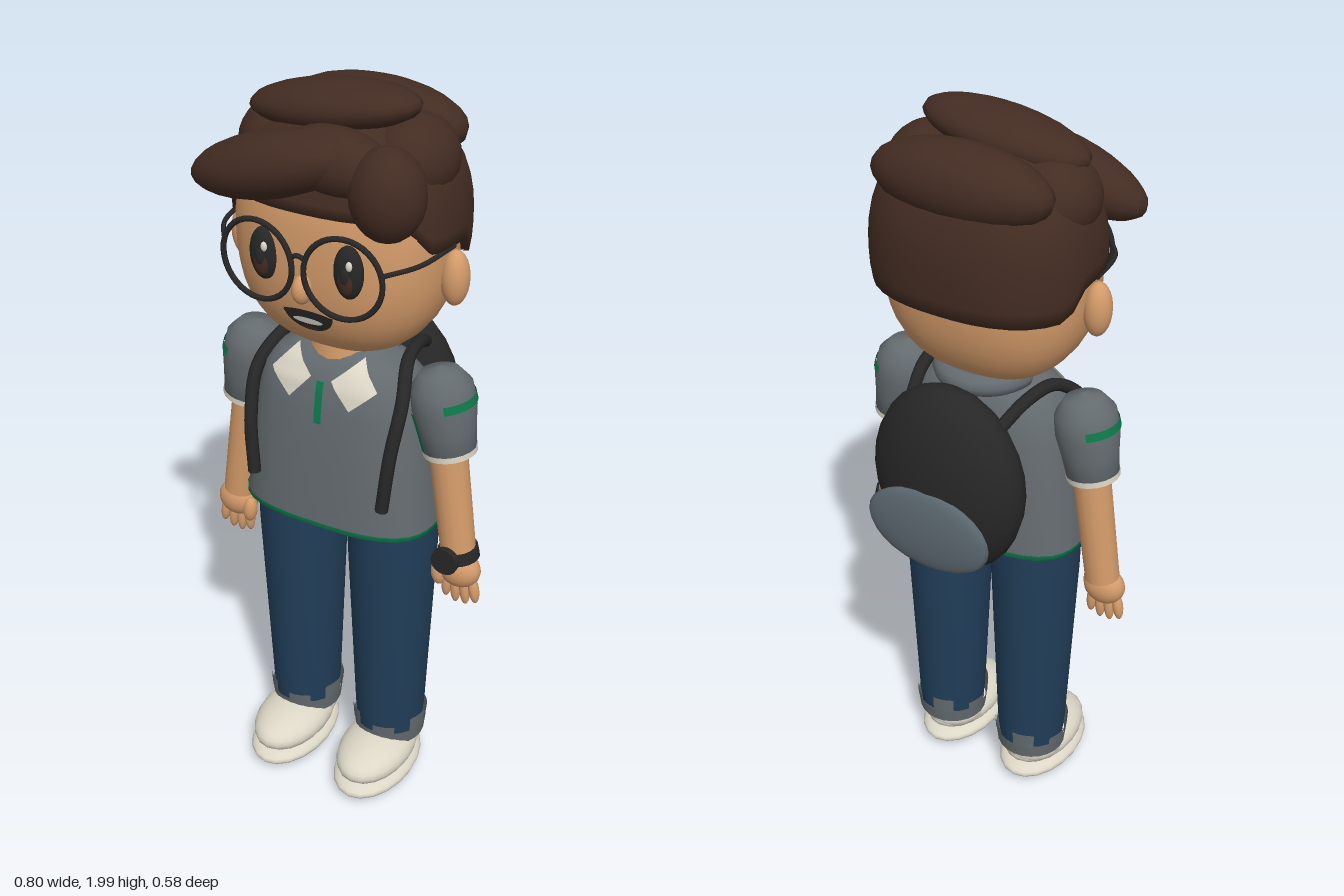
import * as THREE from 'three';
import { mergeVertices } from 'three/addons/utils/BufferGeometryUtils.js';

const mat = (name, color, side = THREE.FrontSide) => {
  const m = new THREE.MeshStandardMaterial({ color, side });
  m.name = name;
  return m;
};

export function createModel() {
  const D = THREE.DoubleSide;
  const skin = mat('skin', 0xd49b69), hairMat = mat('hair brown', 0x432c22, D), grey = mat('shirt grey', 0x646b6f, D);
  const green = mat('trim green', 0x0b7a4c, D), navy = mat('denim navy', 0x213e59, D), cream = mat('cream', 0xdcd7c6, D);
  const black = mat('black', 0x272727, D), slate = mat('pocket slate', 0x5c6870);

  const model = new THREE.Group();
  const add = (name, geo, material, parent = model) => {
    const m = new THREE.Mesh(geo, material);
    m.name = name;
    parent.add(m);
    return m;
  };
  const ball = (name, material, p, r, tilt = 0, parent = model) => {
    const m = add(name, new THREE.SphereGeometry(1, 20, 14), material, parent);
    m.position.set(...p);
    m.scale.set(...r);
    m.rotation.z = tilt;
    return m;
  };
  const tube = (name, material, pts, r, parent = model, seg = 20) =>
    add(name, new THREE.TubeGeometry(new THREE.CatmullRomCurve3(pts.map(p => new THREE.Vector3(...p))), seg, r, 8), material, parent);
  const lathe = (pts, seg = 32, a = 0, len = Math.PI * 2) =>
    new THREE.LatheGeometry(pts.map(p => new THREE.Vector2(...p)), seg, a, len);
  const reshape = (geo, rule) => {
    const p = geo.attributes.position, v = new THREE.Vector3();
    for (let i = 0; i < p.count; i++) {
      v.fromBufferAttribute(p, i);
      rule(v, i);
      p.setXYZ(i, v.x, v.y, v.z);
    }
    geo.computeVertexNormals();
    return geo;
  };
  const weld = geo => {
    geo.deleteAttribute('uv');
    geo.deleteAttribute('normal');
    geo = mergeVertices(geo, 1e-5);
    geo.computeVertexNormals();
    return geo;
  };

  // Head: a squarish ellipsoid, with its front depth available to face parts
  const N = 2.5, HR = [0.27, 0.29, 0.205], HC = [0, 1.62, 0.035];
  const headGeo = reshape(new THREE.SphereGeometry(1, 36, 24), v => {
    const k = (Math.abs(v.x) ** N + Math.abs(v.y) ** N + Math.abs(v.z) ** N) ** (-1 / N);
    v.set(HC[0] + v.x * k * HR[0], HC[1] + v.y * k * HR[1], HC[2] + v.z * k * HR[2]);
  });
  add('head', weld(headGeo), skin);
  const headZ = (x, y) => HC[2] + HR[2] *
    Math.max(0, 1 - Math.abs(x / HR[0]) ** N - Math.abs((y - HC[1]) / HR[1]) ** N) ** (1 / N);
  const neck = add('neck', new THREE.CylinderGeometry(0.085, 0.1, 0.12, 20), skin);
  neck.position.set(0, 1.35, 0.04);
  ball('nose', skin, [0, 1.55, 0.25], [0.024, 0.036, 0.028]);

  // Mouth plates follow the face
  const facePlate = (name, material, y, rx, ry, lift, half) =>
    add(name, reshape(new THREE.RingGeometry(0.001, 1, 24, 3, half ? Math.PI : 0, half ? Math.PI : Math.PI * 2), v => {
      v.set(v.x * rx, y + v.y * ry, 0);
      v.z = headZ(v.x, v.y) + lift;
    }), material);
  facePlate('mouth', black, 1.48, 0.066, 0.052, 0.003, true);
  facePlate('upperLip', black, 1.475, 0.066, 0.014, 0.005);
  facePlate('teeth', cream, 1.46, 0.04, 0.009, 0.008);
  facePlate('lowerLip', hairMat, 1.438, 0.025, 0.006, 0.006);

  // Ears, eyes and spectacles
  for (const s of [1, -1]) {
    ball('ear', skin, [s * 0.288, 1.56, 0.04], [0.035, 0.07, 0.037]);
    ball('eye', black, [s * 0.112, 1.61, 0.23], [0.038, 0.066, 0.022]);
    ball('iris', hairMat, [s * 0.112, 1.595, 0.242], [0.022, 0.038, 0.012]);
    ball('pupil', black, [s * 0.112, 1.605, 0.247], [0.014, 0.024, 0.009]);
    ball('eyeHighlight', cream, [s * 0.112 + 0.012, 1.635, 0.25], [0.008, 0.012, 0.006]);
    const rim = add('glassesRim', new THREE.TorusGeometry(0.098, 0.007, 8, 36), black);
    rim.position.set(s * 0.113, 1.605, 0.26);
    rim.rotation.y = s * 0.08;
    tube('glassesTemple', black, [[s * 0.208, 1.63, 0.25], [s * 0.26, 1.635, 0.17], [s * 0.283, 1.64, 0.04]], 0.006);
  }
  tube('glassesBridge', black, [[-0.022, 1.63, 0.262], [0, 1.642, 0.268], [0.022, 1.63, 0.262]], 0.006);

  // Hair cap: hairline is high over the face, low at the nape, and turned in at its edge
  const rows = 14, cols = 40, smooth = THREE.MathUtils.smoothstep;
  const capGeo = new THREE.SphereGeometry(1, cols, rows);
  reshape(capGeo, (v, i) => {
    const row = Math.floor(i / (cols + 1)), phi = (i % (cols + 1)) / cols * Math.PI * 2;
    const c = -Math.cos(phi), s = Math.sin(phi);
    const line = 1.57 + 0.07 * smooth(s, -0.42, -0.1) + 0.09 * smooth(s, 0.4, 0.75);
    const y0 = 1.66, a = Math.min(1, row / (rows - 1)) * Math.acos((line - y0) / 0.27);
    const k = (row === rows ? 0.8 : 1) * (1 - Math.abs(Math.cos(a)) ** N) ** (1 / N) /
      (Math.abs(c) ** N + Math.abs(s) ** N) ** (1 / N);
    v.set(0.286 * c * k, y0 + 0.27 * Math.cos(a), 0.015 + 0.227 * s * k);
  });
  add('hairCap', weld(capGeo), hairMat);
  const locks = [
    [[-0.02, 1.93, 0.06], [0.222, 0.058, 0.1], 0.13],
    [[-0.105, 1.815, 0.195], [0.225, 0.078, 0.09], 0.27],
    [[0.185, 1.795, 0.185], [0.09, 0.11, 0.085], 0],
    [[0, 1.86, -0.1], [0.24, 0.095, 0.1], 0],
    [[0.17, 1.83, 0.03], [0.105, 0.1, 0.12], -0.3],
    [[-0.17, 1.82, 0.03], [0.11, 0.1, 0.12], 0.3],
    [[0.05, 1.84, 0.17], [0.14, 0.08, 0.08], -0.1],
  ];
  for (const [p, r, tilt] of locks) ball('hairLock', hairMat, p, r, tilt);

  // Shirt body: lathe squared off in plan
  const prof = [[0.267, 0.86], [0.263, 0.9], [0.247, 1.05], [0.228, 1.18], [0.205, 1.26], [0.165, 1.305], [0.11, 1.335], [0.07, 1.345]];
  const P = 3, ZS = 0.59, TZ = 0.05;
  const square = geo => reshape(geo, v => {
    const r = Math.hypot(v.x, v.z) || 1;
    const k = (Math.abs(v.x / r) ** P + Math.abs(v.z / r) ** P || 1) ** (-1 / P);
    const bulge = 1 + (k - 1) * 0.9;
    // keep the widest points in place while filling the corners
    v.set(v.x * bulge, v.y, TZ + v.z * bulge * ZS);
  });
  add('shirtBody', weld(square(lathe(prof, 40))), grey);
  add('shirtHem', weld(square(lathe([[0.001, 0.868], [0.262, 0.862], [0.27, 0.86], [0.27, 0.874]], 40))), green);
  const torsoR = y => {
    let i = 0;
    while (i < prof.length - 2 && prof[i + 1][1] < y) i++;
    const [r0, y0] = prof[i], [r1, y1] = prof[i + 1];
    return r0 + (r1 - r0) * (y - y0) / (y1 - y0);
  };
  const torsoZ = (x, y) => {
    const r = torsoR(y);
    return TZ + ZS * r * Math.max(0, 1 - Math.abs(x / r) ** P) ** (1 / P);
  };
  const shirtPlate = (name, material, x, y, w, h, turn) => {
    const geo = new THREE.PlaneGeometry(w, h, 6, 6).rotateZ(turn).translate(x, y, 0);
    return add(name, reshape(geo, v => { v.z = torsoZ(v.x, v.y) + 0.008; }), material);
  };
  shirtPlate('placket', green, 0, 1.215, 0.02, 0.11, 0);
  for (const s of [1, -1]) shirtPlate('collarPoint', cream, s * 0.088, 1.272, 0.085, 0.085, s * 0.72);
  const backCollar = add('backCollar', new THREE.TorusGeometry(0.105, 0.03, 10, 24, Math.PI), grey);
  backCollar.rotation.x = -Math.PI / 2;
  backCollar.position.set(0, 1.34, 0.01);

  // Arms with sleeves, hands and fingers
  const cyl = (name, material, a, b, ra, rb, parent) => {
    const A = new THREE.Vector3(...a), B = new THREE.Vector3(...b), d = B.clone().sub(A);
    const m = add(name, new THREE.CylinderGeometry(rb, ra, d.length(), 16), material, parent);
    m.position.copy(A).add(B).multiplyScalar(0.5);
    m.quaternion.setFromUnitVectors(new THREE.Vector3(0, 1, 0), d.normalize());
    return m;
  };
  for (const s of [1, -1]) {
    const arm = new THREE.Group();
    arm.name = s > 0 ? 'leftArm' : 'rightArm';
    model.add(arm);
    const sleeve = new THREE.Group();
    sleeve.name = 'sleeve';
    sleeve.position.set(s * 0.296, 1.09, 0.045);
    sleeve.rotation.z = s * 0.17;
    arm.add(sleeve);
    add('sleeveCloth', lathe([[0.05, 0.012], [0.066, 0], [0.074, 0.07], [0.083, 0.13], [0.078, 0.185], [0.05, 0.222], [0.001, 0.235]], 20), grey, sleeve);
    add('sleeveTrim', lathe([[0.069, 0], [0.07, 0.016]], 20), cream, sleeve);
    add('sleeveBand', lathe([[0.085, 0.138], [0.083, 0.16]], 14, s * Math.PI / 2 - 1.1, 2.2), green, sleeve);
    add('sleeveStripe', lathe([[0.07, 0.016], [0.077, 0.07], [0.086, 0.13]], 4, -s * 0.75 - 0.17, 0.34), green, sleeve);
    cyl('arm', skin, [s * 0.335, 0.78, 0.05], [s * 0.283, 1.14, 0.045], 0.046, 0.05, arm);
    ball('palm', skin, [s * 0.34, 0.75, 0.055], [0.058, 0.052, 0.042], 0, arm);
    ball('thumb', skin, [s * 0.29, 0.735, 0.075], [0.02, 0.038, 0.02], s * 0.1, arm);
    [[0.375, 0.392, 0.655], [0.353, 0.362, 0.642], [0.33, 0.333, 0.64], [0.308, 0.304, 0.65]].forEach(([x0, x1, y]) => {
      ball('finger', skin, [s * (x0 + x1) / 2, (y + 0.735) / 2, 0.055], [0.014, (0.735 - y) / 2, 0.015], s * (x1 - x0) * 10, arm);
    });
  }

  // Wristwatch on the left arm
  const strap = add('watchStrap', new THREE.CylinderGeometry(0.052, 0.054, 0.032, 20), black);
  strap.position.set(0.333, 0.8, 0.05);
  strap.rotation.z = 0.15;
  const dial = add('watchDial', new THREE.CylinderGeometry(0.037, 0.037, 0.018, 20), black);
  dial.position.set(0.322, 0.8, 0.107);
  dial.rotation.x = Math.PI / 2;

  // Legs, frayed cuffs and shoes
  for (const s of [1, -1]) {
    const leg = add('trouserLeg', lathe([[0.09, 0.13], [0.096, 0.2], [0.108, 0.5], [0.118, 0.75], [0.12, 0.88]], 24), navy);
    leg.position.set(s * 0.137, 0, 0.04);
    leg.scale.z = 1.06;
    const cuff = new THREE.Group();
    cuff.name = 'cuff';
    cuff.position.set(s * 0.137, 0, 0.04);
    model.add(cuff);
    add('cuffBand', lathe([[0.098, 0.115], [0.103, 0.16]], 24), slate, cuff).material = grey;
    for (let i = 0; i < 6; i++)
      add('cuffPatch', lathe([[0.103, 0.155], [0.106, i % 2 ? 0.205 : 0.185]], 4, i * Math.PI / 3, 0.6), grey, cuff);
    ball('shoeSole', cream, [s * 0.137, 0.036, 0.113], [0.107, 0.036, 0.174]);
    ball('shoeUpper', cream, [s * 0.137, 0.088, 0.115], [0.1, 0.058, 0.16]);
    ball('shoeHeel', cream, [s * 0.137, 0.1, 0.05], [0.092, 0.055, 0.095]);
  }

  // Backpack with pocket and shoulder straps
  ball('backpack', black, [0, 1.095, -0.165], [0.216, 0.265, 0.107]);
  ball('backpackPocket', slate, [0, 0.995, -0.266], [0.18, 0.115, 0.024]);
  for (const s of [1, -1])
    tube('shoulderStrap', black, [[s * 0.13, 1.27, -0.14], [s * 0.155, 1.315, -0.05], [s * 0.175, 1.315, 0.05],
      [s * 0.205, 1.245, 0.135], [s * 0.2, 1.12, 0.185], [s * 0.186, 0.965, 0.2]], 0.017, model, 30);

  return model;
}
